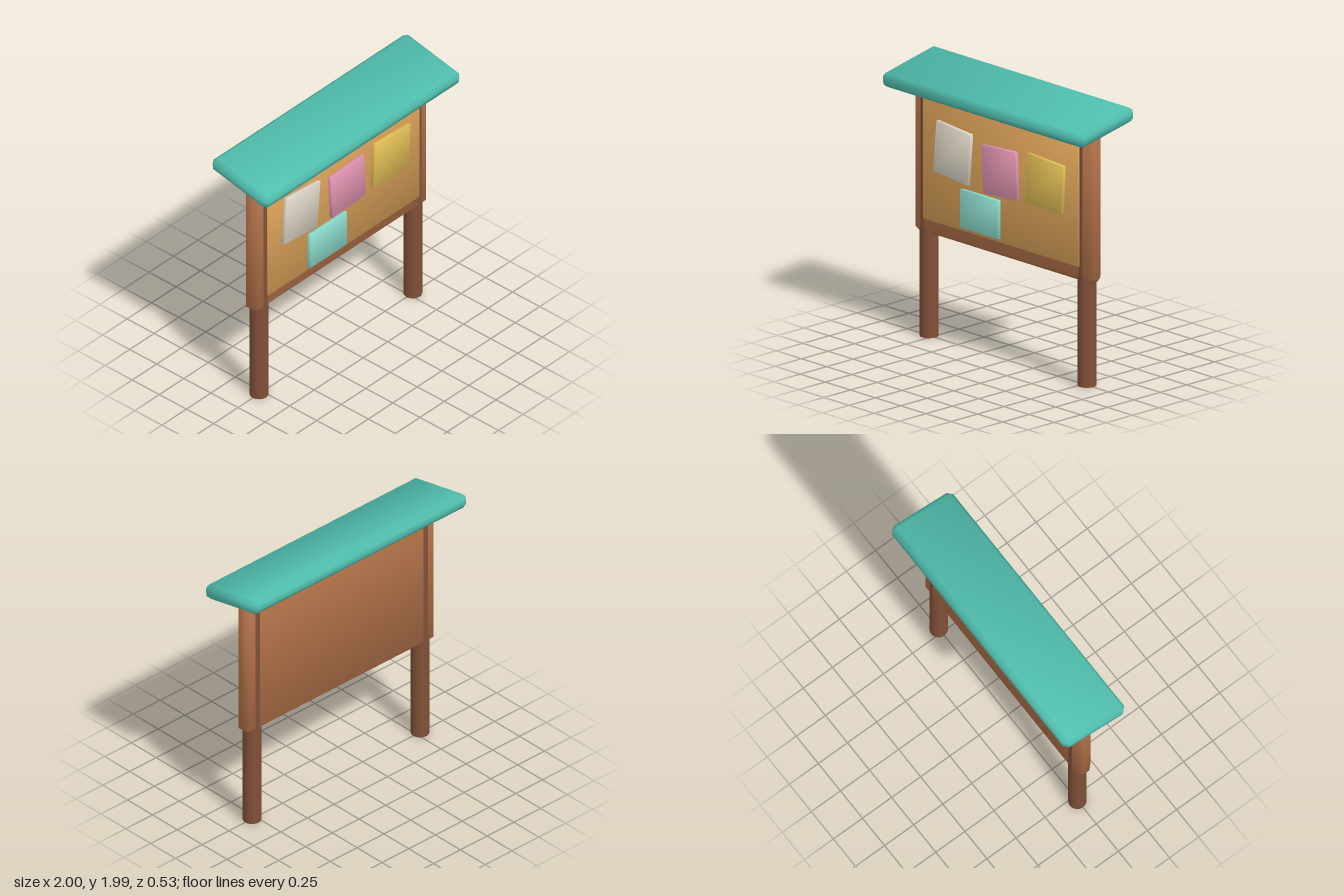
import * as THREE from 'three';

const mat = (name, color) => {
  const m = new THREE.MeshStandardMaterial({ color });
  m.name = name;
  return m;
};

// Box with chamfered edges and soft normals, centred on the origin.
function chamferBox(w, h, d, c) {
  const half = [w / 2, h / 2, d / 2];
  const pos = [], nor = [], idx = [];
  // Three vertices per corner, one for each adjoining side.
  for (let corner = 0; corner < 8; corner++) {
    const sign = [0, 1, 2].map(k => ((corner >> k) & 1 ? 1 : -1));
    for (let a = 0; a < 3; a++) {
      pos.push(...sign.map((s, k) => s * (k === a ? half[k] : half[k] - c)));
      nor.push(...sign.map((s, k) => s * (k === a ? 0.86 : 0.36)));
    }
  }
  const at = i => new THREE.Vector3().fromArray(pos, i * 3);
  // Every face is turned to look away from the centre.
  const tri = (i, j, k) => {
    const n = at(j).sub(at(i)).cross(at(k).sub(at(i)));
    if (n.dot(at(i)) < 0) idx.push(i, k, j);
    else idx.push(i, j, k);
  };
  const quad = (i, j, k, l) => { tri(i, j, k); tri(i, k, l); };
  for (let a = 0; a < 3; a++) {
    const b = (a + 1) % 3, e = (a + 2) % 3;
    const A = 1 << a, B = 1 << b, E = 1 << e;
    // Flat sides
    for (const s of [0, A]) {
      quad(s * 3 + a, (s + B) * 3 + a, (s + B + E) * 3 + a, (s + E) * 3 + a);
    }
    // Chamfers running along this axis
    for (const s of [0, B, E, B + E]) {
      quad(s * 3 + b, (s + A) * 3 + b, (s + A) * 3 + e, s * 3 + e);
    }
  }
  // Corner triangles
  for (let s = 0; s < 8; s++) tri(s * 3, s * 3 + 1, s * 3 + 2);

  const g = new THREE.BufferGeometry();
  g.setAttribute('position', new THREE.Float32BufferAttribute(pos, 3));
  g.setAttribute('normal', new THREE.Float32BufferAttribute(nor, 3));
  g.setIndex(idx);
  g.normalizeNormals();
  return g;
}

export function createModel() {
  const group = new THREE.Group();
  group.name = 'noticeBoard';

  const wood = mat('frame wood', 0xb07048);
  const darkWood = mat('post wood', 0x805038);
  const cork = mat('cork', 0xd9a058);
  const teal = mat('roof teal', 0x50bfae);
  const cream = mat('cream paper', 0xddd5c6);
  const pink = mat('pink paper', 0xe093b0);
  const yellow = mat('yellow paper', 0xe0bd56);
  const mint = mat('mint paper', 0x8bdaca);

  const add = (name, geometry, material, x, y, z) => {
    const mesh = new THREE.Mesh(geometry, material);
    mesh.name = name;
    mesh.position.set(x, y, z);
    group.add(mesh);
    return mesh;
  };

  // Round posts, showing slightly through the frame
  const postGeometry = new THREE.CylinderGeometry(0.064, 0.064, 1.745, 24);
  add('leftPost', postGeometry, darkWood, 0.785, 0.8725, 0);
  add('rightPost', postGeometry, darkWood, -0.785, 0.8725, 0);

  // Wooden back and the cork surface on its front
  add('frame', chamferBox(1.776, 1.08, 0.12, 0.034), wood, 0, 1.29, 0);
  add('corkBoard', chamferBox(1.55, 0.885, 0.053, 0.006), cork, 0, 1.3, 0.047);

  // Pinned sheets: name, material, x, y, width, height, turn
  const sheets = [
    ['creamSheet', cream, -0.454, 1.404, 0.345, 0.373, -0.085],
    ['pinkSheet', pink, 0.016, 1.37, 0.343, 0.345, 0.055],
    ['yellowSheet', yellow, 0.463, 1.388, 0.363, 0.358, -0.052],
    ['mintSheet', mint, -0.184, 1.027, 0.38, 0.278, 0],
  ];
  for (const [name, material, x, y, w, h, turn] of sheets) {
    add(name, chamferBox(w, h, 0.03, 0.004), material, x, y, 0.086).rotation.z = turn;
  }

  // Roof slab sloping down to the front
  add('roof', chamferBox(2, 0.108, 0.53, 0.033), teal, 0, 1.888, 0).rotation.x = 0.205;

  return group;
}
